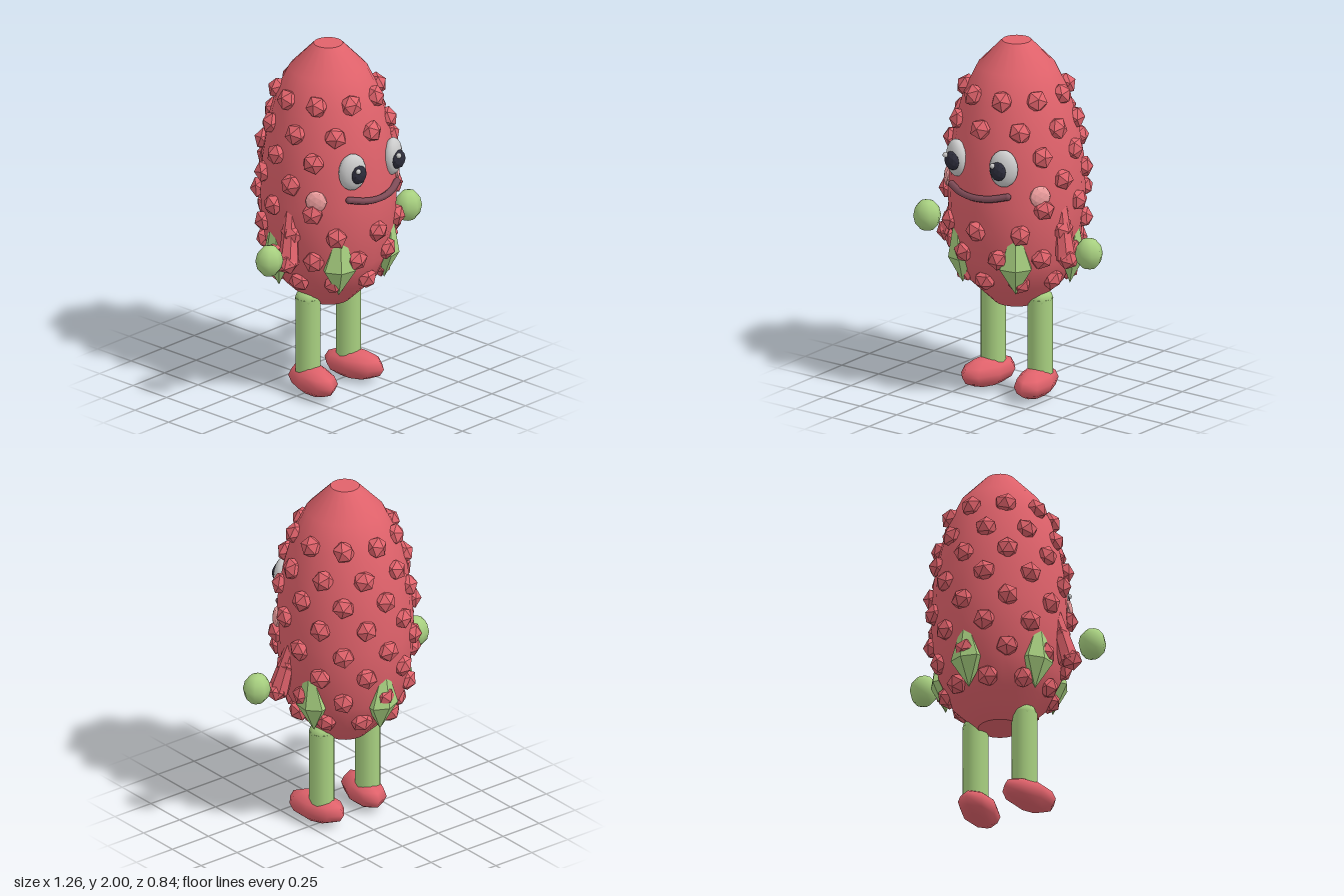
import * as THREE from 'three';

const material = (color, flatShading = false) => new THREE.MeshStandardMaterial({ color, flatShading });
const red = material(0xe0626b), redFlat = material(0xe0626b, true);
const green = material(0xa8d080), greenFlat = material(0xa8d080, true);
const eyeGrey = material(0xcccccc), dark = material(0x2c2c3a, true);
const pink = material(0xf0a0a0, true), mouthColor = material(0x804c58);

// Body outline, bottom to top: [radius, height]
const profile = [[0.12, 0.51], [0.265, 0.65], [0.335, 0.8], [0.368, 1], [0.375, 1.15],
  [0.365, 1.35], [0.338, 1.52], [0.288, 1.71], [0.215, 1.86], [0.08, 2]];

function radiusAt(y) {
  let i = 1;
  while (i < profile.length - 1 && profile[i][1] < y) i++;
  const [r0, y0] = profile[i - 1], [r1, y1] = profile[i];
  return r0 + (r1 - r0) * (y - y0) / (y1 - y0);
}

function add(parent, name, geometry, mat, position = [0, 0, 0], scale = [1, 1, 1]) {
  const mesh = new THREE.Mesh(geometry, mat);
  mesh.name = name;
  mesh.position.set(...position);
  mesh.scale.set(...scale);
  parent.add(mesh);
  return mesh;
}

// Group on the body surface whose +z points outward; angle 0 is the front
function anchor(parent, name, angle, y, offset = 0) {
  const group = new THREE.Group();
  const r = radiusAt(y);
  const slope = (radiusAt(y + 0.06) - radiusAt(y - 0.06)) / 0.12;
  group.name = name;
  group.position.set(Math.sin(angle) * (r + offset), y, Math.cos(angle) * (r + offset));
  group.rotation.set(Math.atan(slope), angle, 0, 'YXZ');
  parent.add(group);
  return group;
}

export function createModel() {
  const model = new THREE.Group();
  const deg = THREE.MathUtils.degToRad;

  // Body with flat ends
  const points = profile.map(([r, y]) => new THREE.Vector2(r, y));
  add(model, 'body', new THREE.LatheGeometry(points, 20), red);
  add(model, 'bodyTop', new THREE.CircleGeometry(0.08, 20), red, [0, 2, 0]).rotation.x = -Math.PI / 2;
  add(model, 'bodyBottom', new THREE.CircleGeometry(0.12, 20), red, [0, 0.51, 0]).rotation.x = Math.PI / 2;

  // Staggered rows of bumps, left out where the face sits
  const bump = new THREE.IcosahedronGeometry(0.066, 0);
  bump.rotateX(Math.atan(2 / (1 + Math.sqrt(5))));
  [0.7, 0.85, 1, 1.14, 1.29, 1.43, 1.57, 1.73].forEach((y, row) => {
    for (let i = 0; i < 9; i++) {
      const angle = i * 40 + (row % 2 ? 20 : 0);
      const fromFront = Math.min(angle, 360 - angle);
      if ((row === 3 || row === 5) && fromFront < 30) continue;
      if (row === 4 && fromFront < 50) continue;
      const spot = anchor(model, 'bump', deg(angle), y, -0.004);
      const mesh = add(spot, 'bumpStone', bump, redFlat, [0, 0, 0], [1, 0.95, 0.85]);
      mesh.rotation.set(0.15 * Math.sin(i * 5 + row), 0.15 * Math.cos(i * 3 + row), i * 2.3 + row * 1.1);
    }
  });

  // Pointed leaves around the lower body
  const leaf = new THREE.LatheGeometry(
    [[0, -0.16], [0.1, 0], [0, 0.27]].map(([r, y]) => new THREE.Vector2(r, y)), 6);
  for (let i = 0; i < 5; i++) {
    const spot = anchor(model, 'leaf', deg(36 + i * 72), 0.8, -0.015);
    spot.rotation.x *= 0.3;
    add(spot, 'leafBlade', leaf, greenFlat, [0, 0, 0], [1, 1, 0.7]);
  }

  // Eyes, cheeks, arms and legs, mirrored
  const ball = new THREE.SphereGeometry(1, 14, 10);
  const lowBall = new THREE.SphereGeometry(1, 8, 6);
  for (const side of [1, -1]) {
    const eye = new THREE.Group();
    eye.name = 'eye';
    eye.position.set(side * 0.16, 1.38, 0.33);
    model.add(eye);
    add(eye, 'eyeball', ball, eyeGrey, [0, 0, 0], [0.08, 0.105, 0.05]).rotation.y = side * 0.42;
    add(eye, 'pupil', new THREE.IcosahedronGeometry(0.05, 1), dark, [-side * 0.006, -0.005, 0.043], [1, 1.1, 0.7]);
    add(eye, 'glint', lowBall, eyeGrey, [-0.025, 0.028, 0.069], [0.016, 0.016, 0.014]);

    const cheek = anchor(model, 'cheek', side * deg(57), 1.215);
    add(cheek, 'cheekSpot', new THREE.IcosahedronGeometry(0.06, 1), pink, [0, 0, 0], [1, 1, 0.4]);

    // Short arm with a rounded hand held out from it
    const start = new THREE.Vector3(side * 0.335, 1.12, 0.04);
    const end = new THREE.Vector3(side * 0.4, 0.84, 0.08);
    const along = end.clone().sub(start);
    const arm = add(model, 'arm', new THREE.CylinderGeometry(0.06, 0.035, along.length(), 7), redFlat,
      start.clone().add(end).multiplyScalar(0.5).toArray());
    arm.quaternion.setFromUnitVectors(new THREE.Vector3(0, 1, 0), along.normalize());
    add(model, 'armEnd', bump, redFlat, [side * 0.41, 0.85, 0.08], [0.95, 0.95, 0.95]);
    add(model, 'hand', lowBall, green, [side * 0.55, 0.905, 0.078], [0.08, 0.09, 0.072]);

    // Leg with rounded hip and a long foot
    add(model, 'leg', new THREE.CylinderGeometry(0.07, 0.07, 0.45, 12), green, [side * 0.16, 0.33, 0]);
    add(model, 'hip', lowBall, green, [side * 0.16, 0.55, 0], [0.072, 0.06, 0.072]);
    const foot = add(model, 'foot', lowBall, red, [side * 0.163, 0.083, 0.04], [0.1, 0.083, 0.19]);
    foot.rotation.y = side * 0.2;
  }

  // Smile wrapped around the front
  const smile = [-0.19, -0.1, 0, 0.1, 0.19].map((x) => new THREE.Vector3(
    x, 1.195 + x * x * 0.8, Math.sqrt(0.385 ** 2 - x * x)));
  const smileCurve = new THREE.CatmullRomCurve3(smile);
  add(model, 'mouth', new THREE.TubeGeometry(smileCurve, 16, 0.02, 6), mouthColor);
  for (const p of [smile[0], smile[4]]) add(model, 'mouthCorner', lowBall, mouthColor, p.toArray(), [0.02, 0.02, 0.02]);

  return model;
}
